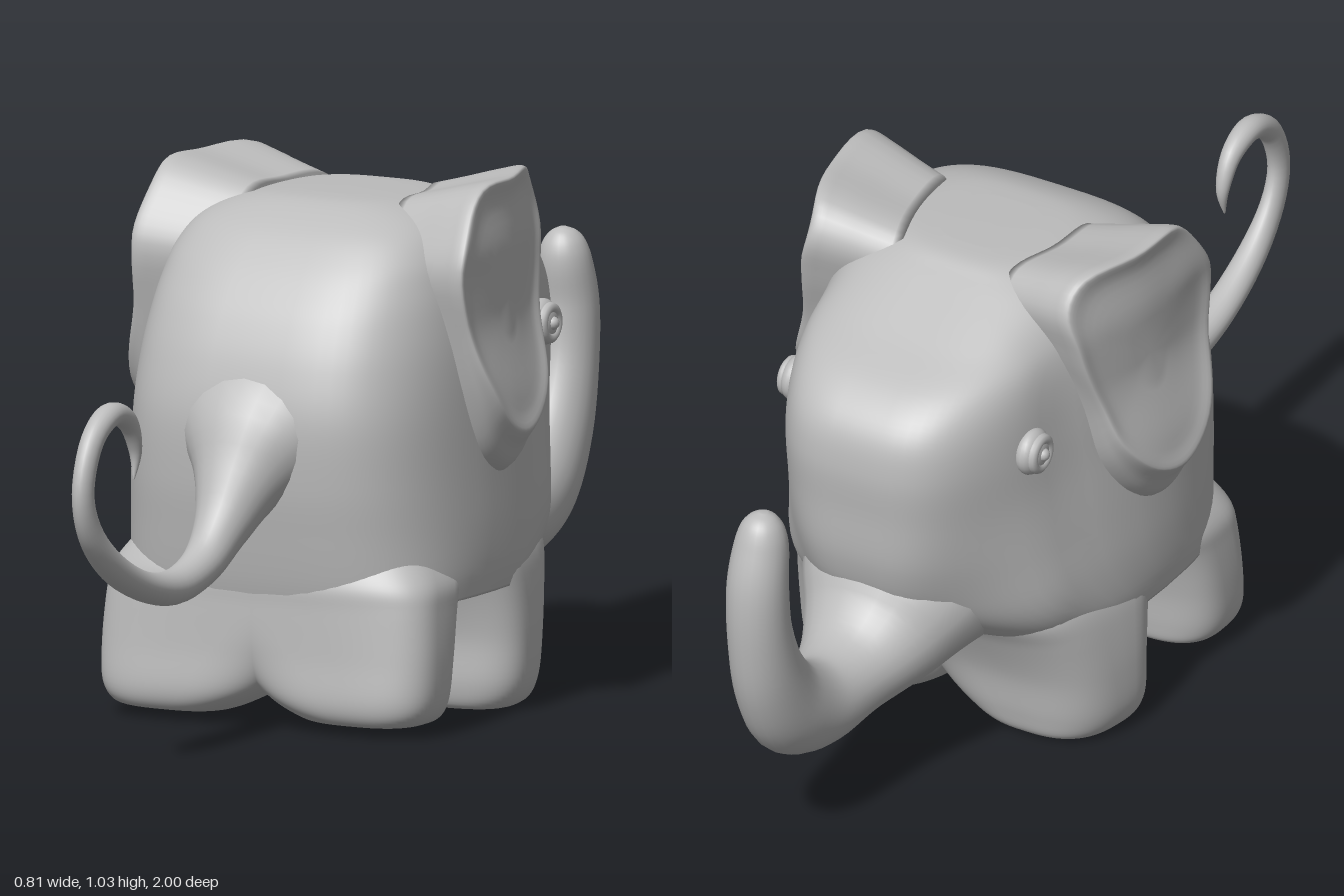
import * as THREE from 'three';

const grey = new THREE.MeshStandardMaterial({ color: 0xbcbcbc });
grey.name = 'grey';
const step = THREE.MathUtils.smoothstep;

// Catmull-Rom resampling of a table of numbers
function smooth(rows, n) {
  const out = [], last = rows.length - 1;
  const at = (i) => rows[Math.min(last, Math.max(0, i))];
  for (let k = 0; k <= n; k++) {
    const f = (k / n) * last, i = Math.min(last - 1, Math.floor(f)), t = f - i;
    const [a, b, c, d] = [at(i - 1), at(i), at(i + 1), at(i + 2)];
    out.push(b.map((v, j) => v + 0.5 * t * (c[j] - a[j]
      + t * (2 * a[j] - 5 * v + 4 * c[j] - d[j] + t * (3 * (v - c[j]) + d[j] - a[j])))));
  }
  return out;
}

// Closed skin over rings of equal length, capped at both ends, always facing outward
function skin(name, rings) {
  const n = rings[0].length, pts = rings.flat(), index = [];
  for (let r = 0; r < rings.length - 1; r++) {
    for (let i = 0; i < n; i++) {
      const a = r * n + i, b = r * n + (i + 1) % n;
      index.push(a, b, a + n, b, b + n, a + n);
    }
  }
  [0, rings.length - 1].forEach((r, end) => {
    const pole = pts.length;
    const mid = new THREE.Vector3();
    rings[r].forEach((p) => mid.addScaledVector(p, 1 / n));
    pts.push(mid);
    for (let i = 0; i < n; i++) {
      const a = r * n + i, b = r * n + (i + 1) % n;
      if (end) index.push(a, b, pole); else index.push(b, a, pole);
    }
  });
  let volume = 0;
  const cross = new THREE.Vector3();
  for (let i = 0; i < index.length; i += 3) {
    volume += pts[index[i]].dot(cross.crossVectors(pts[index[i + 1]], pts[index[i + 2]]));
  }
  if (volume < 0) index.reverse();
  const geo = new THREE.BufferGeometry().setFromPoints(pts);
  geo.setIndex(index);
  geo.computeVertexNormals();
  const mesh = new THREE.Mesh(geo, grey);
  mesh.name = name;
  return mesh;
}

// Horizontal rounded-box ring, narrowing at the shoulders and again at the face
function slab([y, zBack, zFront, xIn, xOut], side, power, shoulder, face) {
  const ring = [], pow = (v) => Math.sign(v) * Math.abs(v) ** (2 / power);
  for (let i = 0; i < 72; i++) {
    const a = (i / 72) * Math.PI * 2;
    const z = (zBack + zFront) / 2 + (zBack - zFront) / 2 * pow(Math.cos(a));
    const x = (xIn + xOut) / 2 + (xOut - xIn) / 2 * pow(Math.sin(a));
    const taper = 1 - shoulder * step(-z, 0.05, 0.32) - face * step(-z, 0.3, 0.6);
    ring.push(new THREE.Vector3(side * x * taper, y, z));
  }
  return ring;
}

// Tapered tube in the middle plane; rows are [z, y, radius, half width]
function sweep(name, rows) {
  const path = smooth(rows, 64);
  return skin(name, path.map(([z, y, r, w], k) => {
    const p = path[Math.max(0, k - 1)], q = path[Math.min(path.length - 1, k + 1)];
    const len = Math.hypot(q[0] - p[0], q[1] - p[1]);
    const nz = -(q[1] - p[1]) / len, ny = (q[0] - p[0]) / len;
    return Array.from({ length: 24 }, (_, i) => {
      const a = (i / 24) * Math.PI * 2, s = r * Math.sin(a);
      return new THREE.Vector3(w * Math.cos(a), y + ny * s, z + nz * s);
    });
  }));
}

function makeBody() {
  // height, back z, front z, half width, shoulder and face narrowing
  const rows = [
    [0.25, 0.31, -0.34, 0.345, 0.1, 0.4], [0.3, 0.322, -0.43, 0.352, 0.1, 0.4], [0.38, 0.336, -0.53, 0.353, 0.12, 0.38],
    [0.48, 0.35, -0.572, 0.348, 0.15, 0.25], [0.6, 0.354, -0.585, 0.341, 0.18, 0.14], [0.7, 0.333, -0.592, 0.334, 0.19, 0.1],
    [0.78, 0.3, -0.575, 0.324, 0.19, 0.1], [0.84, 0.262, -0.515, 0.312, 0.19, 0.1], [0.89, 0.22, -0.41, 0.294, 0.19, 0.1],
    [0.935, 0.17, -0.32, 0.262, 0.19, 0.1], [0.965, 0.115, -0.26, 0.215, 0.19, 0.1], [0.983, 0.06, -0.22, 0.15, 0.19, 0.1],
    [0.988, 0.0, -0.17, 0.08, 0.19, 0.1],
  ];
  return skin('body', smooth(rows, 72).map(([y, b, f, w, s, e]) => slab([y, b, f, -w, w], 1, 3.3, s, e)));
}

// Leg rows: height, back z, front z, inner x, outer x
const hindLeg = [
  [0.022, 0.28, 0.14, 0.11, 0.29], [0.032, 0.308, 0.118, 0.07, 0.33], [0.07, 0.322, 0.108, 0.0, 0.352],
  [0.15, 0.317, 0.095, -0.09, 0.356], [0.24, 0.314, 0.065, -0.24, 0.351],
  [0.29, 0.312, 0.03, -0.3, 0.343], [0.34, 0.29, 0.0, -0.3, 0.31],
];
const frontLeg = [
  [0.006, -0.08, -0.23, 0.11, 0.29], [0.014, -0.052, -0.268, 0.07, 0.335], [0.06, -0.038, -0.285, 0.0, 0.36],
  [0.15, -0.034, -0.305, -0.09, 0.364], [0.24, -0.005, -0.345, -0.24, 0.357],
  [0.3, 0.03, -0.38, -0.3, 0.345], [0.35, 0.02, -0.38, -0.3, 0.32],
];
function makeLeg(name, rows, side) {
  return skin(name, smooth(rows, 36).map((r) => slab(r, side, 2.7 + 3 * Math.min(r[0], 0.24), 0.1, 0)));
}

function makeEar(side) {
  // outline as (z, y)
  const outline = [
    [0.03, 1.025], [-0.1, 1.03], [-0.235, 1.025], [-0.28, 0.965], [-0.265, 0.87], [-0.225, 0.75], [-0.195, 0.65],
    [-0.12, 0.57], [-0.04, 0.545], [0.03, 0.575], [0.085, 0.66], [0.115, 0.76], [0.135, 0.88], [0.1, 0.955],
  ];
  const curve = new THREE.CatmullRomCurve3(outline.map(([z, y]) => new THREE.Vector3(0, y, z)), true);
  const edge = curve.getPoints(64).slice(0, 64);
  // scale above and below the centre, and sideways offset: dished face, rim, then root
  const rings = smooth([[0.25, 0.25, -0.024], [0.55, 0.55, -0.021], [0.8, 0.8, -0.014], [0.95, 0.93, -0.003],
    [0.995, 0.98, -0.005], [0.995, 1.08, -0.022], [0.975, 1.22, -0.042], [0.935, 1.3, -0.08],
    [0.88, 1.25, -0.13], [0.81, 1.1, -0.2]], 27);
  return skin('ear', rings.map(([up, down, dx]) => edge.map((p) => {
    const y = 0.8 + (p.y - 0.8) * (p.y > 0.8 ? up : down), z = -0.07 + (p.z + 0.07) * up;
    const flare = 0.026 * step(1.03 - y, 0, 0.14) + 0.032 * step(1.03 - y, 0.24, 0.43);
    return new THREE.Vector3(side * (0.348 + flare - 0.9 * z * z + dx), y, z);
  })));
}

function makeEye(side) {
  const eye = new THREE.Group();
  eye.name = 'eye';
  const ball = new THREE.Mesh(new THREE.SphereGeometry(0.046, 24, 16), grey);
  ball.name = 'eyeBall';
  ball.scale.x = 0.6;
  const lid = new THREE.Mesh(new THREE.TorusGeometry(0.029, 0.011, 10, 28), grey);
  lid.name = 'eyeRim';
  lid.rotation.y = Math.PI / 2;
  lid.position.x = side * 0.017;
  const pupil = new THREE.Mesh(new THREE.SphereGeometry(0.013, 14, 10), grey);
  pupil.name = 'pupil';
  pupil.position.x = side * 0.024;
  eye.add(ball, lid, pupil);
  eye.position.set(side * 0.258, 0.705, -0.36);
  return eye;
}

export function createModel() {
  const model = new THREE.Group();
  model.name = 'elephant';
  model.add(makeBody());

  model.add(sweep('trunk', [
    [-0.28, 0.42, 0.2, 0.22], [-0.42, 0.365, 0.165, 0.2], [-0.52, 0.305, 0.12, 0.145], [-0.62, 0.272, 0.088, 0.1],
    [-0.73, 0.263, 0.09, 0.078], [-0.83, 0.31, 0.092, 0.07], [-0.895, 0.405, 0.08, 0.065], [-0.93, 0.52, 0.066, 0.061],
    [-0.938, 0.63, 0.06, 0.059], [-0.925, 0.71, 0.053, 0.053], [-0.92, 0.75, 0.043, 0.043],
    [-0.917, 0.772, 0.027, 0.027], [-0.916, 0.782, 0.008, 0.008],
  ]));
  model.add(sweep('tail', [
    [0.2, 0.58, 0.19, 0.24], [0.29, 0.545, 0.135, 0.165], [0.36, 0.485, 0.085, 0.092], [0.43, 0.41, 0.055, 0.054],
    [0.51, 0.35, 0.04, 0.04], [0.62, 0.325, 0.034, 0.036], [0.74, 0.345, 0.029, 0.034], [0.86, 0.4, 0.029, 0.029],
    [0.945, 0.475, 0.029, 0.022], [0.974, 0.56, 0.026, 0.02], [0.94, 0.65, 0.024, 0.022], [0.87, 0.692, 0.023, 0.025],
    [0.8, 0.67, 0.02, 0.02], [0.768, 0.61, 0.013, 0.013], [0.775, 0.555, 0.002, 0.002],
  ]));

  for (const side of [1, -1]) {
    model.add(makeLeg('hindLeg', hindLeg, side), makeLeg('frontLeg', frontLeg, side));
    model.add(makeEar(side), makeEye(side));
  }
  return model;
}
